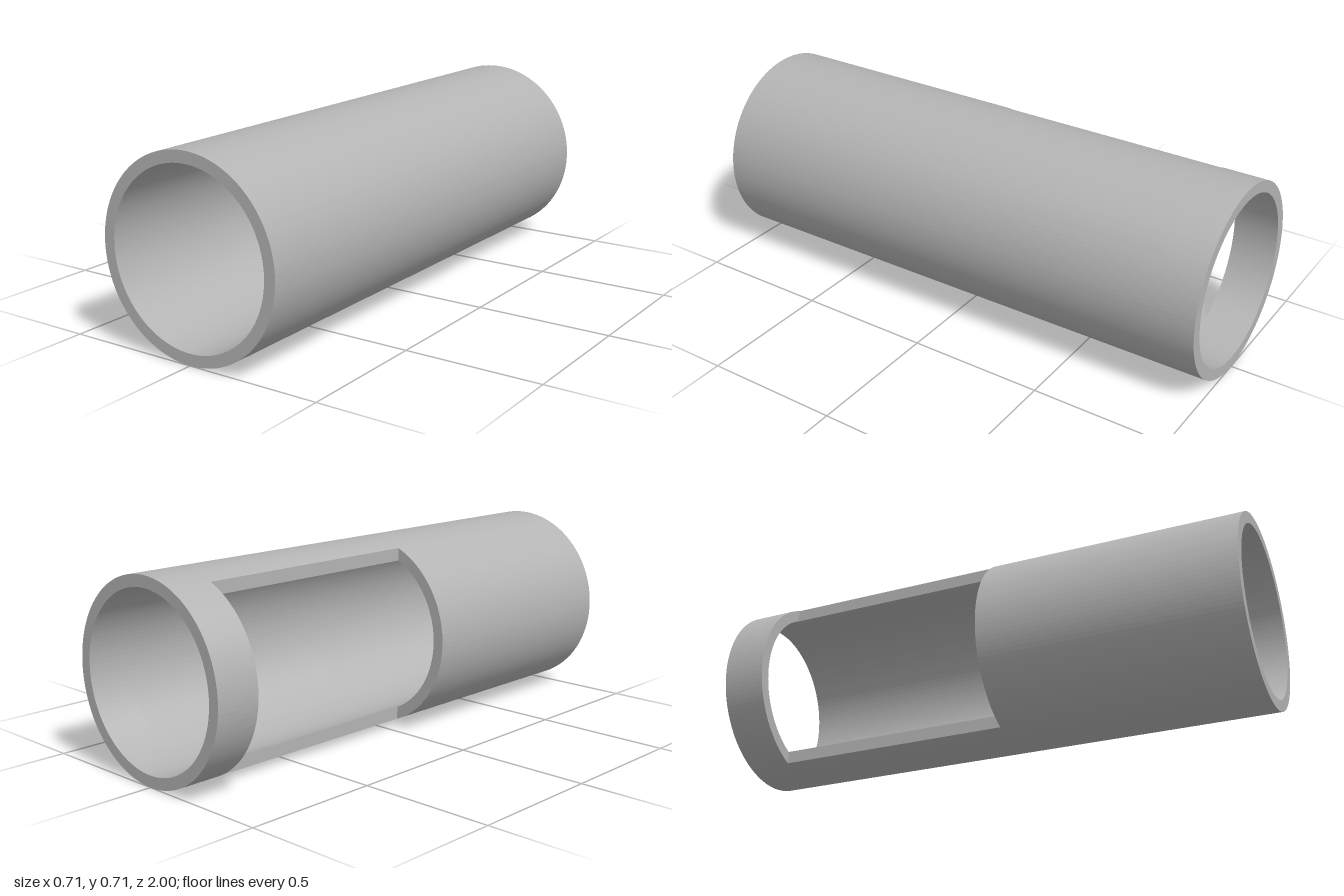
import * as THREE from 'three';
import { mergeGeometries } from 'three/addons/utils/BufferGeometryUtils.js';

const OUTER = 0.3535, INNER = 0.3115;      // tube radii
const CUT_X = -0.137;                      // flat plane of the side window
const CUT_BACK = -0.836, CUT_FRONT = 0.053; // window ends along z

// Points on a circle between two angles
function arc(r, from, to, n) {
  return Array.from({ length: n + 1 }, (_, i) => {
    const a = from + (to - from) * i / n;
    return new THREE.Vector2(r * Math.cos(a), r * Math.sin(a));
  });
}

// Kept part and window part of a circle, meeting on the cut plane
function splitCircle(r) {
  const a = Math.acos(CUT_X / r);
  return { kept: arc(r, -a, a, 80), gap: arc(r, a, 2 * Math.PI - a, 48) };
}

// Side walls of an extruded section, without its end caps
function walls(shape, z0, z1) {
  const geo = new THREE.ExtrudeGeometry(shape, { depth: z1 - z0, bevelEnabled: false });
  const { start, count } = geo.groups[1];
  const out = new THREE.BufferGeometry();
  const pos = geo.attributes.position.array.slice(start * 3, (start + count) * 3);
  out.setAttribute('position', new THREE.BufferAttribute(pos, 3));
  out.computeVertexNormals();
  return out.translate(0, 0, z0);
}

// Flat face of a section, facing front (+z) or back (-z)
function face(shape, z, front) {
  let geo = new THREE.ShapeGeometry(shape);
  if (!front) {
    const idx = geo.index.array;
    for (let i = 0; i < idx.length; i += 3) [idx[i], idx[i + 1]] = [idx[i + 1], idx[i]];
  }
  geo = geo.toNonIndexed();
  geo.deleteAttribute('uv');
  geo.computeVertexNormals();
  return geo.translate(0, 0, z);
}

export function createModel() {
  const group = new THREE.Group();
  group.name = 'windowedTube';
  const grey = new THREE.MeshStandardMaterial({ color: 0xb4b4b4 });
  grey.name = 'grey';

  const o = splitCircle(OUTER), n = splitCircle(INNER);
  const ring = new THREE.Shape([...o.kept, ...o.gap.slice(1, -1)]);
  ring.holes.push(new THREE.Path([...n.kept, ...n.gap.slice(1, -1)]));
  const openRing = new THREE.Shape([...o.kept, ...n.kept.slice().reverse()]);
  const gapSection = new THREE.Shape([...o.gap, ...n.gap.slice().reverse()]);

  const add = (name, ...geos) => {
    const mesh = new THREE.Mesh(mergeGeometries(geos), grey);
    mesh.name = name;
    mesh.position.y = OUTER;
    group.add(mesh);
  };

  // Long closed front length, with the window's front edge
  add('frontTube', walls(ring, CUT_FRONT, 1), face(ring, 1, true), face(gapSection, CUT_FRONT, false));
  // Middle length, open on the -x side
  add('windowTube', walls(openRing, CUT_BACK, CUT_FRONT));
  // Short closed collar at the back, with the window's back edge
  add('backCollar', walls(ring, -1, CUT_BACK), face(ring, -1, false), face(gapSection, CUT_BACK, true));

  return group;
}
